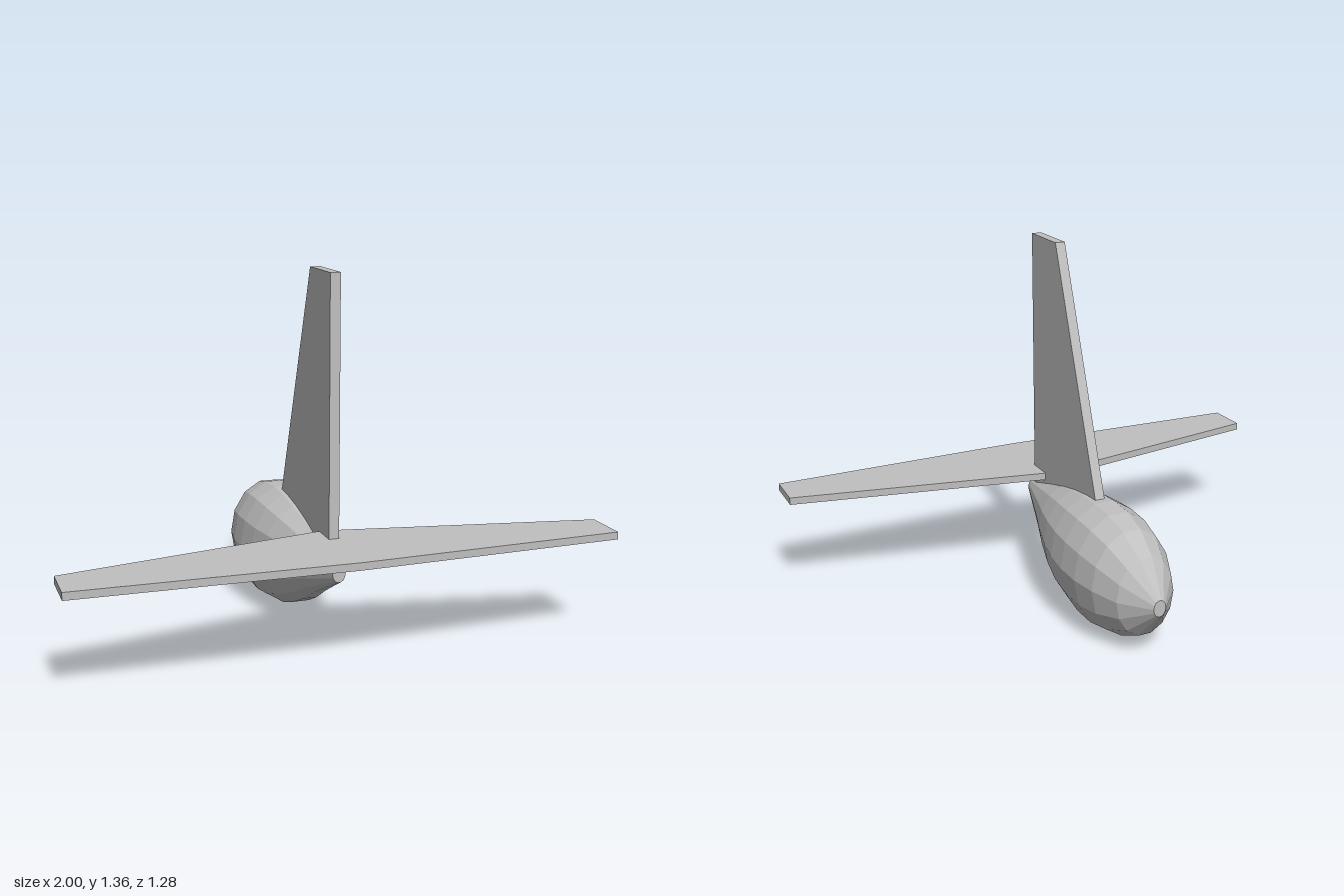
import * as THREE from 'three';

const grey = new THREE.MeshStandardMaterial({ color: 0xbfbfbf });
grey.name = 'plainGrey';

const SIDES = 14;
// Fuselage stations, nose to tail, evenly spaced in z: [lowest y, highest y]
const STATIONS = [
  [0.19, 0.252], [0.073, 0.368], [0.025, 0.432], [0.003, 0.457], [0.003, 0.463], [0.02, 0.456],
  [0.056, 0.441], [0.105, 0.418], [0.165, 0.389], [0.219, 0.362], [0.272, 0.335],
];
const NOSE_Z = -0.64, TAIL_Z = 0.417;

function addMesh(group, name, geometry) {
  const flat = geometry.index ? geometry.toNonIndexed() : geometry;
  flat.computeVertexNormals();
  const mesh = new THREE.Mesh(flat, grey);
  mesh.name = name;
  group.add(mesh);
}

// Faceted teardrop: a cylinder along z, each ring refitted to its station
function fuselageGeometry() {
  const last = STATIONS.length - 1;
  const geo = new THREE.CylinderGeometry(1, 1, 1, SIDES, last, false, Math.PI / SIDES);
  geo.rotateX(Math.PI / 2);
  const p = geo.attributes.position;
  for (let i = 0; i < p.count; i++) {
    const t = p.getZ(i) + 0.5;
    const [low, high] = STATIONS[Math.round(t * last)];
    const ry = (high - low) / 2 / Math.cos(Math.PI / SIDES);
    p.setXYZ(i, p.getX(i) * ry * 0.757, (low + high) / 2 + p.getY(i) * ry,
      THREE.MathUtils.lerp(NOSE_Z, TAIL_Z, t));
  }
  return geo;
}

// Flat plate of constant thickness, centred on its own plane
function plate(points, thickness) {
  const shape = new THREE.Shape(points.map(([x, y]) => new THREE.Vector2(x, y)));
  const geo = new THREE.ExtrudeGeometry(shape, { depth: thickness, bevelEnabled: false });
  return geo.translate(0, 0, -thickness / 2);
}

export function createModel() {
  const model = new THREE.Group();
  model.name = 'aircraft';

  addMesh(model, 'fuselage', fuselageGeometry());

  // Tapered wing, outlined in x and z
  const wing = plate([[0, 0.255], [1, 0.445], [1, 0.612], [0, 0.64], [-1, 0.612], [-1, 0.445]], 0.028);
  addMesh(model, 'wing', wing.rotateX(Math.PI / 2).translate(0, 0.403, 0));

  // Upright fin, outlined in -z and y
  const fin = plate([[-0.363, 0.345], [0.224, 0.345], [-0.153, 1.36], [-0.363, 1.36]], 0.038);
  addMesh(model, 'fin', fin.rotateY(Math.PI / 2));

  return model;
}
